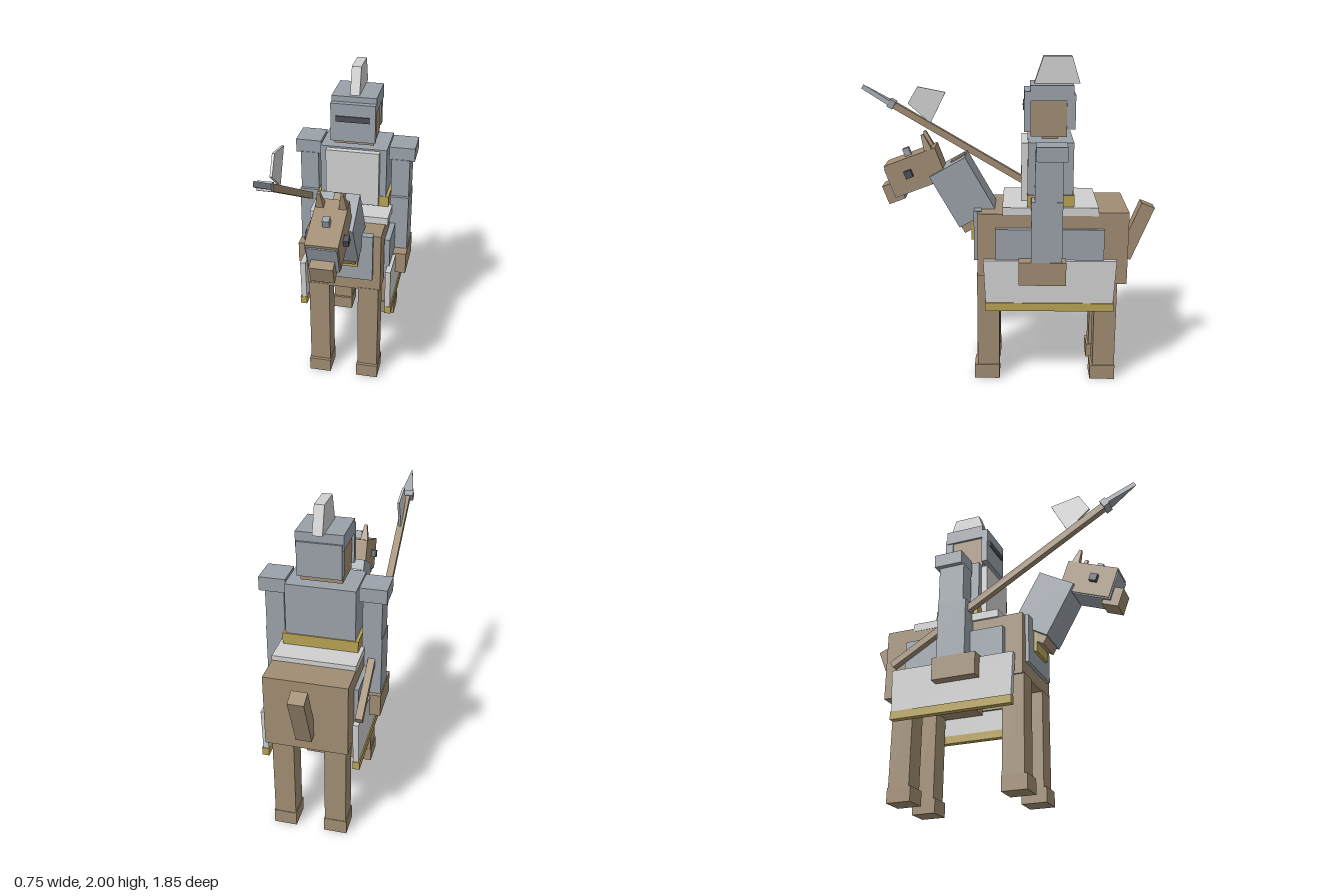
import * as THREE from 'three';

const mat = (name, color) => {
  const m = new THREE.MeshStandardMaterial({ color });
  m.name = name;
  return m;
};

export function createModel() {
  const root = new THREE.Group();
  root.name = 'mountedKnight';
  const brown = mat('brown', 0xa08c72);
  const steel = mat('steel', 0x9aa1a9);
  const light = mat('paleCloth', 0xd0d0d0);
  const gold = mat('gold', 0xb7a252);
  const dark = mat('darkSteel', 0x4c4f5a);

  const add = (name, geo, m, parent = root) => {
    const mesh = new THREE.Mesh(geo, m);
    mesh.name = name;
    parent.add(mesh);
    return mesh;
  };
  // Box from its limits on each axis
  const box = (name, m, x0, x1, y0, y1, z0, z1, parent = root) => {
    const mesh = add(name, new THREE.BoxGeometry(x1 - x0, y1 - y0, z1 - z0), m, parent);
    mesh.position.set((x0 + x1) / 2, (y0 + y1) / 2, (z0 + z1) / 2);
    return mesh;
  };
  // Mirrored pair of boxes, limits given for the +x side
  const pair = (name, m, x0, x1, ...rest) => {
    box(name + 'Left', m, x0, x1, ...rest);
    box(name + 'Right', m, -x1, -x0, ...rest);
  };
  // Side outline of [z, y] points given thickness along x
  const slab = (name, m, pts, width, x, parent = root) => {
    const shape = new THREE.Shape(pts.map(([z, y]) => new THREE.Vector2(z, y)));
    const geo = new THREE.ExtrudeGeometry(shape, { depth: width, bevelEnabled: false });
    geo.rotateY(-Math.PI / 2).translate(x + width / 2, 0, 0);
    return add(name, geo, m, parent);
  };
  // Group pitched about x, for parts built in their own frame
  const tilted = (name, x, y, z, angle) => {
    const g = new THREE.Group();
    g.name = name;
    g.position.set(x, y, z);
    g.rotation.x = angle;
    root.add(g);
    return g;
  };

  // Horse body and legs
  box('horseForebody', brown, -0.232, 0.232, 0.69, 1.085, -0.3, 0.165);
  box('horseHindquarters', brown, -0.245, 0.245, 0.65, 1.1, -0.746, -0.3);
  pair('frontLeg', brown, 0.092, 0.222, 0.09, 0.7, 0.032, 0.168);
  pair('frontHoof', brown, 0.088, 0.228, 0, 0.092, 0.03, 0.187);
  pair('hindLeg', brown, 0.092, 0.222, 0.09, 0.7, -0.692, -0.555);
  pair('hindHoof', brown, 0.088, 0.228, 0, 0.092, -0.695, -0.54);
  const tail = tilted('tailGroup', 0, 0.923, -0.818, -0.386);
  box('tail', brown, -0.047, 0.047, -0.183, 0.183, -0.044, 0.044, tail);

  // Neck with armour
  const neck = tilted('neckGroup', 0, 1.185, 0.259, 0.515);
  box('neck', brown, -0.092, 0.092, -0.235, 0.17, -0.115, 0.118, neck);
  box('neckArmour', steel, -0.116, 0.116, -0.183, 0.183, -0.125, 0.125, neck);
  box('mane', brown, -0.033, 0.033, 0.1, 0.19, -0.118, -0.02, neck);

  // Horse head
  const head = tilted('horseHeadGroup', 0, 1.308, 0.545, 0.36);
  box('horseHead', brown, -0.093, 0.093, -0.1, 0.1, -0.167, 0.167, head);
  box('jawArmour', steel, -0.086, 0.086, -0.108, 0.08, -0.07, 0.175, head);
  box('muzzle', brown, -0.067, 0.067, -0.136, -0.017, 0.125, 0.232, head);
  box('foreheadStud', steel, -0.02, 0.02, 0.095, 0.148, -0.004, 0.036, head);
  for (const s of [-1, 1]) {
    const eye = s * 0.105;
    box('horseEye', dark, eye - 0.018, eye + 0.018, -0.018, 0.028, 0.018, 0.064, head)
      .position.set(eye, 0.006, 0.04);
    const ear = add('ear', new THREE.CylinderGeometry(0.012, 0.034, 0.1, 4).toNonIndexed(), brown, head);
    ear.geometry.rotateY(Math.PI / 4);
    ear.geometry.computeVertexNormals();
    ear.position.set(s * 0.066, 0.147, -0.122);
  }

  // Horse armour and cloth
  box('chestArmour', steel, -0.185, 0.185, 0.778, 1.09, 0.14, 0.187);
  box('chestTrim', gold, -0.095, 0.095, 0.88, 1.01, 0.18, 0.206);
  pair('flankArmour', steel, 0.235, 0.27, 0.72, 1.0, -0.6, 0.053);
  box('saddleCloth', light, -0.247, 0.247, 1.08, 1.13, -0.563, 0.012);
  for (const s of [-1, 1]) {
    slab('sideCloth', light, [[0.127, 0.81], [-0.677, 0.81], [-0.66, 0.49], [0.112, 0.49]], 0.034, s * 0.273);
    box('sideClothTrim', gold, s * 0.276 - 0.021, s * 0.276 + 0.021, 0.489, 0.54, -0.667, 0.117);
  }

  // Rider
  box('riderBelt', gold, -0.225, 0.225, 1.12, 1.2, -0.417, -0.135);
  box('riderTorso', steel, -0.207, 0.207, 1.13, 1.515, -0.41, -0.138);
  box('breastplate', light, -0.166, 0.166, 1.15, 1.505, -0.14, -0.1);
  pair('pauldron', steel, 0.215, 0.374, 1.435, 1.52, -0.368, -0.184);
  pair('arm', steel, 0.232, 0.345, 1.19, 1.44, -0.345, -0.18);
  pair('riderLeg', steel, 0.232, 0.349, 0.81, 1.19, -0.345, -0.16);
  pair('boot', brown, 0.24, 0.355, 0.677, 0.82, -0.37, -0.087);

  // Rider head and helmet
  box('riderNeck', brown, -0.07, 0.07, 1.5, 1.55, -0.32, -0.225);
  box('riderHead', brown, -0.122, 0.122, 1.535, 1.77, -0.37, -0.153);
  box('helmetCap', steel, -0.137, 0.137, 1.75, 1.84, -0.408, -0.15);
  box('helmetVisor', steel, -0.137, 0.137, 1.565, 1.805, -0.155, -0.115);
  box('helmetBack', steel, -0.13, 0.13, 1.58, 1.785, -0.42, -0.368);
  box('visorSlit', dark, -0.105, 0.105, 1.693, 1.728, -0.116, -0.107);
  slab('plume', light, [[-0.175, 1.84], [-0.228, 2], [-0.4, 2], [-0.45, 1.84]], 0.058, 0);

  // Lance, built along +z with its point at the origin
  const lance = tilted('lanceGroup', -0.29, 1.78, 0.918, -0.533);
  box('lanceShaft', brown, -0.021, 0.021, -0.021, 0.021, -1.845, -0.22, lance);
  box('lanceCollar', steel, -0.04, 0.04, -0.026, 0.026, -0.235, -0.195, lance);
  const tip = new THREE.ExtrudeGeometry(
    new THREE.Shape([[-0.038, 0.2], [0.038, 0.2], [0, 0]].map(([x, y]) => new THREE.Vector2(x, y))),
    { depth: 0.03, bevelEnabled: false });
  tip.rotateX(-Math.PI / 2).translate(0, -0.015, 0);
  add('lancePoint', tip, steel, lance);
  slab('pennant', light, [[0.566, 1.78], [0.386, 1.745], [0.487, 1.545], [0.63, 1.672]], 0.014, -0.29);

  return root;
}
